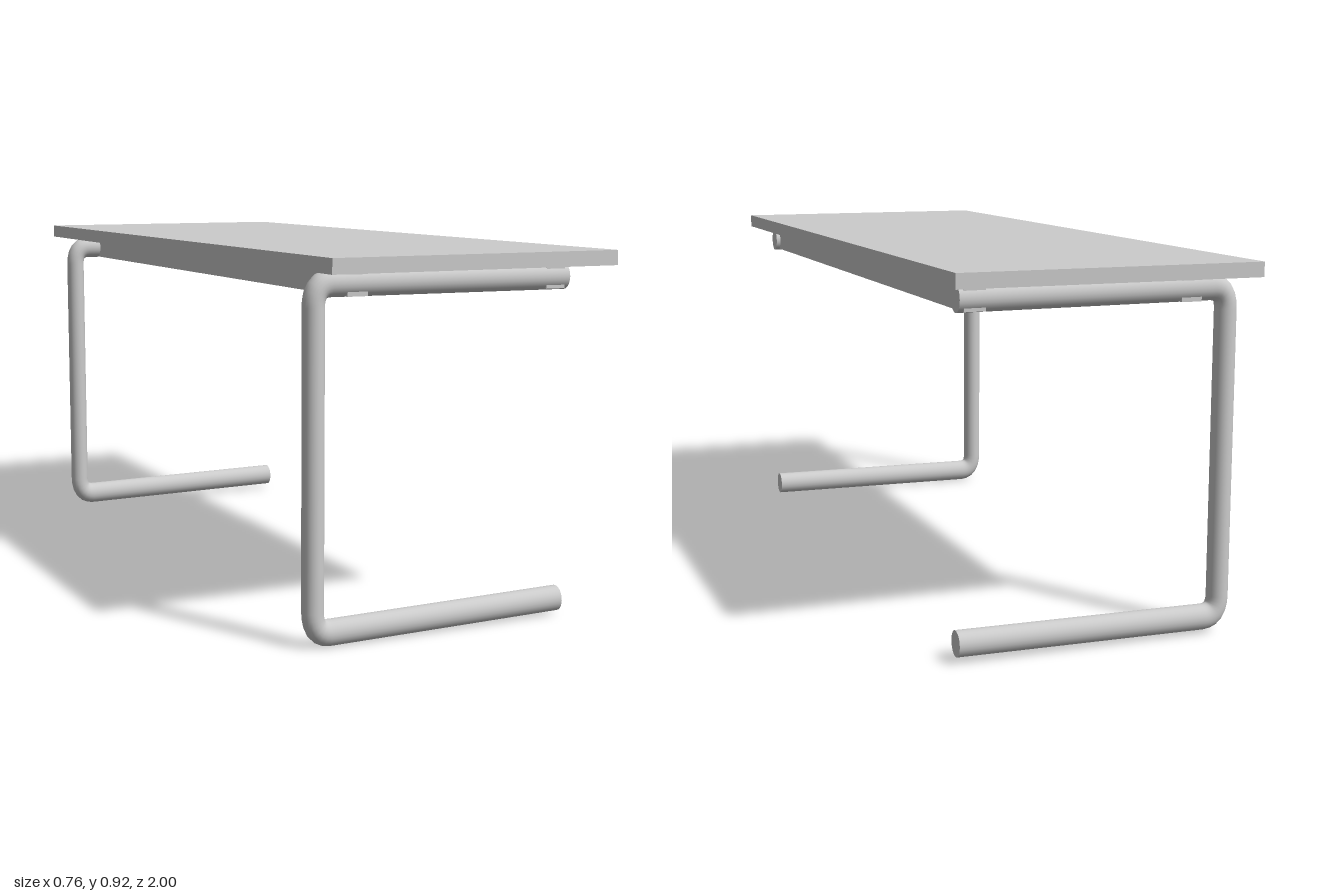
import * as THREE from 'three';

const material = new THREE.MeshStandardMaterial({ color: 0xcccccc });

// Tubes are slightly oval: drawn round, then stretched along each axis
const R = 0.03;
const STRETCH = new THREE.Vector3(0.026 / R, 0.032 / R, 0.029 / R);

function addBox(parent, name, size, position) {
  const mesh = new THREE.Mesh(new THREE.BoxGeometry(...size), material);
  mesh.name = name;
  mesh.position.set(...position);
  parent.add(mesh);
}

// C-shaped leg: upper arm, upright and foot joined by rounded bends
function makeLeg(name, z, lift) {
  const leg = new THREE.Group();
  leg.name = name;
  leg.position.z = z;

  const at = (x, y) => new THREE.Vector3(x, y, 0).divide(STRETCH);
  const upperEnd = at(0.338, 0.85), upperCorner = at(-0.344, 0.853);
  const lowerCorner = at(-0.344, 0.034 + lift), lowerEnd = at(0.338, 0.041 + lift);
  const bend = 0.05;
  const toward = (from, to) => from.clone().add(to.clone().sub(from).setLength(bend));

  const path = new THREE.CurvePath();
  let last = upperEnd;
  for (const [prev, corner, next] of [
    [upperEnd, upperCorner, lowerCorner],
    [upperCorner, lowerCorner, lowerEnd],
  ]) {
    const a = toward(corner, prev), b = toward(corner, next);
    path.add(new THREE.LineCurve3(last, a));
    path.add(new THREE.QuadraticBezierCurve3(a, corner, b));
    last = b;
  }
  path.add(new THREE.LineCurve3(last, lowerEnd));

  const geometry = new THREE.TubeGeometry(path, 180, R, 24, false);
  geometry.scale(STRETCH.x, STRETCH.y, STRETCH.z);
  const tube = new THREE.Mesh(geometry, material);
  tube.name = name + 'Tube';
  leg.add(tube);

  // Flat caps closing both open ends
  for (const [capName, end] of [['upperCap', upperEnd], ['footCap', lowerEnd]]) {
    const disc = new THREE.CircleGeometry(R, 24);
    disc.rotateY(Math.PI / 2);
    disc.scale(1, STRETCH.y, STRETCH.z);
    const cap = new THREE.Mesh(disc, material);
    cap.name = capName;
    cap.position.copy(end).multiply(STRETCH);
    leg.add(cap);
  }
  return leg;
}

export function createModel() {
  const table = new THREE.Group();
  table.name = 'table';

  addBox(table, 'tabletop', [0.757, 0.036, 2], [0, 0.902, 0]);

  table.add(makeLeg('frontLeg', 0.84, 0));
  table.add(makeLeg('backLeg', -0.885, 0.006));

  // Long rails under the top, running from leg to leg
  addBox(table, 'rightRail', [0.052, 0.063, 1.77], [-0.242, 0.8535, -0.0225]);
  addBox(table, 'leftRail', [0.052, 0.063, 1.77], [0.3, 0.8535, -0.0225]);

  return table;
}
